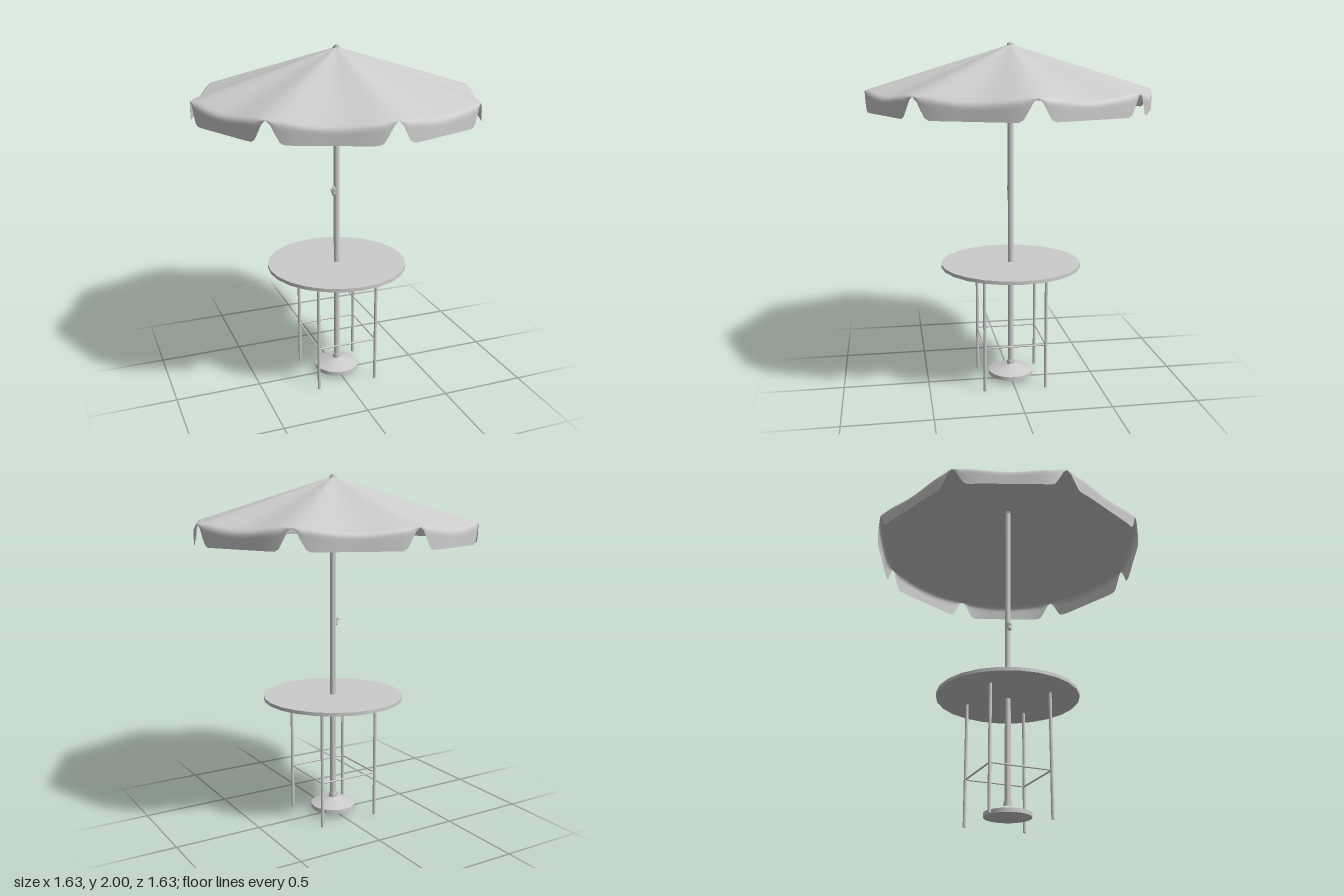
import * as THREE from 'three';

const material = new THREE.MeshStandardMaterial({ color: 0xcccccc });
const clothMaterial = new THREE.MeshStandardMaterial({ color: 0xcccccc, side: THREE.DoubleSide });

function add(parent, name, geometry, x = 0, y = 0, z = 0, mat = material) {
  const mesh = new THREE.Mesh(geometry, mat);
  mesh.name = name;
  mesh.position.set(x, y, z);
  parent.add(mesh);
  return mesh;
}

// Eight-panel cloth: straight ribs, sagging panels and a scalloped valance
function canopyGeometry() {
  const panels = 8, perPanel = 28, columns = panels * perPanel;
  const coneRows = 12, bendRows = 5, valanceRows = 6;
  const rows = coneRows + bendRows + valanceRows;
  const apexY = 1.988, ribY = 1.742, innerR = 0.012;
  const positions = [], indices = [];

  for (let j = 0; j <= rows; j++) {
    for (let i = 0; i < columns; i++) {
      const angle = (i / columns) * Math.PI * 2;
      const u = ((i % perPanel) / perPanel) * 2 - 1; // -1 and 1 on ribs, 0 mid panel
      const mid = 1 - (2 * u * u - u ** 4);
      const rimR = 0.814 - 0.036 * mid;
      const rimY = ribY - 0.026 * mid;
      const bottomY = rimY - (0.114 - 0.026 * mid) * THREE.MathUtils.smoothstep(1 - Math.abs(u), 0, 0.27);
      const bend = Math.min(0.03, (rimY - bottomY) * 0.4);
      const slope = (apexY - rimY) / (rimR - innerR);
      const coneR = rimR - bend;
      const coneY = rimY + slope * bend;
      let r, y;
      if (j <= coneRows) {
        const t = j / coneRows;
        r = innerR + (coneR - innerR) * t;
        y = apexY + (coneY - apexY) * t;
      } else if (j <= coneRows + bendRows) {
        // rounded turn from the roof into the valance
        const t = (j - coneRows) / bendRows, s = 1 - t;
        r = s * s * coneR + (1 - s * s) * rimR;
        y = s * s * coneY + 2 * s * t * rimY + t * t * (rimY - bend);
      } else {
        const t = (j - coneRows - bendRows) / valanceRows;
        r = rimR;
        y = rimY - bend + (bottomY - rimY + bend) * t;
      }
      positions.push(r * Math.sin(angle), y, r * Math.cos(angle));
    }
  }
  for (let j = 0; j < rows; j++) {
    for (let i = 0; i < columns; i++) {
      const k = (i + 1) % columns;
      const a = j * columns + i, b = j * columns + k;
      const c = a + columns, d = b + columns;
      indices.push(a, c, b, b, c, d);
    }
  }
  const geometry = new THREE.BufferGeometry();
  geometry.setAttribute('position', new THREE.Float32BufferAttribute(positions, 3));
  geometry.setIndex(indices);
  geometry.computeVertexNormals();
  return geometry;
}

export function createModel() {
  const model = new THREE.Group();
  model.name = 'parasolTable';

  // Parasol
  const parasol = new THREE.Group();
  parasol.name = 'parasol';
  model.add(parasol);
  add(parasol, 'canopy', canopyGeometry(), 0, 0, 0, clothMaterial);
  add(parasol, 'pole', new THREE.CylinderGeometry(0.017, 0.017, 1.91, 20), 0, 1.035, 0);
  add(parasol, 'finialCap', new THREE.CylinderGeometry(0.019, 0.023, 0.016, 20), 0, 1.988, 0);
  add(parasol, 'finialTip', new THREE.CylinderGeometry(0.011, 0.011, 0.004, 16), 0, 1.998, 0);

  // Crank on the pole's right side
  const crank = new THREE.Group();
  crank.name = 'crank';
  parasol.add(crank);
  const housing = add(crank, 'crankHousing', new THREE.CapsuleGeometry(0.014, 0.03, 6, 14), -0.019, 1.17, 0.003);
  housing.scale.x = 0.8;
  const hub = add(crank, 'crankHub', new THREE.CylinderGeometry(0.008, 0.008, 0.012, 14), -0.031, 1.18, 0.003);
  hub.rotation.z = Math.PI / 2;

  // Weighted foot
  const foot = [[0, 0.03], [0.132, 0.03], [0.132, 0.053], [0.03, 0.086], [0.023, 0.09], [0.023, 0.115], [0, 0.115]];
  const footMaterial = material.clone();
  footMaterial.flatShading = false;
  for (let i = 0; i < foot.length - 1; i++) {
    // one band per segment keeps the turned edges sharp
    const band = foot.slice(i, i + 2).map(([r, y]) => new THREE.Vector2(r, y));
    add(parasol, 'footBand', new THREE.LatheGeometry(band, 32), 0, 0, 0, footMaterial);
  }

  // Table
  const table = new THREE.Group();
  table.name = 'table';
  model.add(table);
  add(table, 'tableTop', new THREE.CylinderGeometry(0.41, 0.41, 0.02, 24), 0, 0.721, 0);
  const reach = 0.18, railY = 0.265;
  for (const x of [-reach, reach]) {
    for (const z of [-reach, reach]) {
      add(table, 'leg', new THREE.CylinderGeometry(0.009, 0.009, 0.715, 14), x, 0.3575, z);
    }
  }
  for (const side of [-reach, reach]) {
    const rail = new THREE.CylinderGeometry(0.005, 0.005, reach * 2, 10);
    add(table, 'sideRail', rail, side, railY, 0).rotation.x = Math.PI / 2;
    add(table, 'crossRail', rail, 0, railY, side).rotation.z = Math.PI / 2;
  }
  return model;
}
